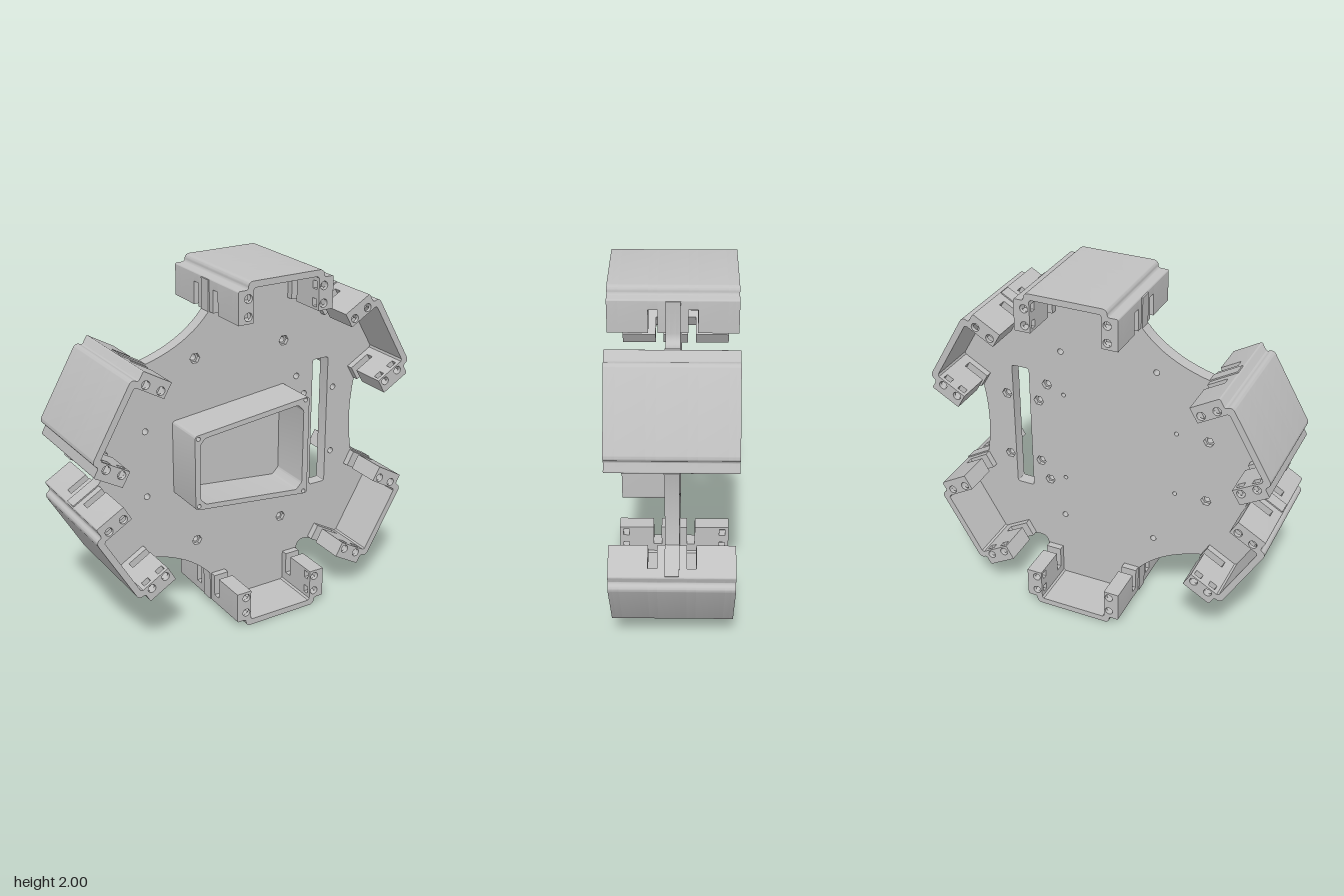
import * as THREE from 'three';
import { toCreasedNormals } from 'three/addons/utils/BufferGeometryUtils.js';

const V = (x, y) => new THREE.Vector2(x, y);

function extrude(shape, z0, z1) {
  const g = new THREE.ExtrudeGeometry(shape, { depth: z1 - z0, bevelEnabled: false, curveSegments: 10 });
  g.translate(0, 0, z0);
  return toCreasedNormals(g, 0.6);
}

function circle(x, y, r, sides = 16) {
  const pts = [];
  for (let i = 0; i < sides; i++) {
    const a = (i / sides) * Math.PI * 2;
    pts.push(V(x + r * Math.cos(a), y + r * Math.sin(a)));
  }
  return new THREE.Path(pts);
}

// closed path with rounded corners
function rounded(path, pts, r) {
  pts.forEach((p, i) => {
    const a = pts[(i + pts.length - 1) % pts.length], b = pts[(i + 1) % pts.length];
    const s = p.clone().add(a.clone().sub(p).setLength(r));
    const e = p.clone().add(b.clone().sub(p).setLength(r));
    if (i === 0) path.moveTo(s.x, s.y); else path.lineTo(s.x, s.y);
    path.quadraticCurveTo(p.x, p.y, e.x, e.y);
  });
  path.closePath();
  return path;
}

// bracket positions, clockwise from the top; angle turns local +y outward
const BRACKETS = [
  { x: 0.145, y: 1.78, deg: 0 },
  { x: 0.67, y: 1.48, deg: -60 },
  { x: 0.67, y: 0.52, deg: -120 },
  { x: 0.145, y: 0.22, deg: 180 },
  { x: -0.675, y: 0.695, deg: 120 },
  { x: -0.675, y: 1.305, deg: 60 },
];
// control points of the curved plate edge after each bracket
const EDGES = [[0.45, 1.72], [0.775, 1], [0.45, 0.28], [-0.28, 0.375], [-0.775, 1], [-0.28, 1.625]];

const BOLT_V = [0.037, 0.132];

// U-shaped bracket section; tabs start at height v0, optional nut pockets
function section(v0, pockets) {
  const s = new THREE.Shape();
  s.moveTo(-0.2, v0);
  s.lineTo(-0.29, v0);
  s.lineTo(-0.29, 0.168);
  s.quadraticCurveTo(-0.29, 0.178, -0.28, 0.178);
  s.lineTo(-0.245, 0.178);
  s.quadraticCurveTo(-0.232, 0.18, -0.232, 0.192);
  s.quadraticCurveTo(-0.23, 0.22, -0.2, 0.22);
  s.lineTo(0.2, 0.22);
  s.quadraticCurveTo(0.23, 0.22, 0.232, 0.192);
  s.quadraticCurveTo(0.232, 0.18, 0.245, 0.178);
  s.lineTo(0.28, 0.178);
  s.quadraticCurveTo(0.29, 0.178, 0.29, 0.168);
  s.lineTo(0.29, v0);
  s.lineTo(0.2, v0);
  const h = 0.022;
  if (pockets) BOLT_V.forEach((v) => {
    s.lineTo(0.2, v - h); s.lineTo(0.255, v - h); s.lineTo(0.255, v + h); s.lineTo(0.2, v + h);
  });
  s.lineTo(0.2, 0.175);
  s.lineTo(0.19, 0.185);
  s.lineTo(-0.19, 0.185);
  s.lineTo(-0.2, 0.175);
  if (pockets) [...BOLT_V].reverse().forEach((v) => {
    s.lineTo(-0.2, v + h); s.lineTo(-0.255, v + h); s.lineTo(-0.255, v - h); s.lineTo(-0.2, v - h);
  });
  s.closePath();
  return s;
}

function bracketLayers() {
  const bolted = section(0, false);
  for (const u of [-0.231, 0.231]) for (const v of BOLT_V) bolted.holes.push(circle(u, v, 0.023));
  const plain = section(0, false), pocketed = section(0, true), notched = section(0.125, false);
  const layers = [['bracketCentre', extrude(plain, -0.075, 0.075)]];
  const half = [
    ['bracketSlots', notched, 0.075, 0.122],
    ['bracketWall', plain, 0.122, 0.268],
    ['bracketNutPockets', pocketed, 0.268, 0.302],
    ['bracketBoltEnd', bolted, 0.302, 0.323],
  ];
  for (const [name, s, a, b] of half) {
    layers.push([name, extrude(s, a, b)], [name, extrude(s, -b, -a)]);
  }
  return layers;
}

function plateOutline() {
  const s = new THREE.Shape();
  const local = [[-0.297, 0], [-0.297, 0.17], [-0.22, 0.17], [-0.22, 0.19], [0.22, 0.19], [0.22, 0.17], [0.297, 0.17], [0.297, 0]];
  const at = (b, p) => V(p[0], p[1]).rotateAround(V(0, 0), THREE.MathUtils.degToRad(b.deg)).add(V(b.x, b.y));
  BRACKETS.forEach((b, i) => {
    local.forEach((p, j) => {
      const q = at(b, p);
      if (i === 0 && j === 0) s.moveTo(q.x, q.y);
      else if (j > 0) s.lineTo(q.x, q.y);
    });
    const n = at(BRACKETS[(i + 1) % 6], local[0]);
    s.quadraticCurveTo(EDGES[i][0], EDGES[i][1], n.x, n.y);
  });
  return s;
}

export function createModel() {
  const model = new THREE.Group();
  model.name = 'hexagonalFrame';
  const grey = new THREE.MeshStandardMaterial({ color: 0xc0c0c0 });
  grey.name = 'light grey';
  const add = (parent, name, geometry) => {
    const m = new THREE.Mesh(geometry, grey);
    m.name = name;
    parent.add(m);
  };

  // plate in three layers, so nut recesses can sit on either face
  const frontNuts = [[-0.235, 0.54], [0.325, 0.54]];
  const backNuts = [[0.415, 0.315], [0.47, 0.2], [0.67, 0.2], [-0.54, 0.19]];
  const hubBolts = [[-0.356, 0.194], [0.314, 0.273]];
  const plate = new THREE.Group();
  plate.name = 'basePlate';
  model.add(plate);
  const plateLayer = (name, z0, z1, hexFront, hexBack) => {
    const s = plateOutline();
    s.holes.push(rounded(new THREE.Path(), [V(0.525, 0.615), V(0.63, 0.615), V(0.63, 1.39), V(0.525, 1.39)], 0.015));
    for (const m of [-1, 1]) {
      for (const [x, y] of frontNuts) s.holes.push(hexFront ? circle(x, 1 + m * y, 0.03, 6) : circle(x, 1 + m * y, 0.017));
      for (const [x, y] of backNuts) s.holes.push(hexBack ? circle(x, 1 + m * y, 0.03, 6) : circle(x, 1 + m * y, 0.017));
      for (const [x, y] of hubBolts) s.holes.push(circle(x, 1 + m * y, 0.012));
    }
    add(plate, name, extrude(s, z0, z1));
  };
  plateLayer('plateFront', 0.015, 0.037, true, false);
  plateLayer('plateCore', -0.015, 0.015, false, false);
  plateLayer('plateBack', -0.037, -0.015, false, true);

  // hollow trapezoid housing with clipped inner corners for its bolts
  const hub = rounded(new THREE.Shape(), [V(-0.377, 0.788), V(0.337, 0.71), V(0.337, 1.29), V(-0.377, 1.212)], 0.02);
  hub.holes.push(rounded(new THREE.Path(), [
    V(-0.346, 0.845), V(-0.315, 0.81), V(0.265, 0.748), V(0.302, 0.785),
    V(0.302, 1.215), V(0.265, 1.252), V(-0.315, 1.19), V(-0.346, 1.155),
  ], 0.012));
  for (const m of [-1, 1]) for (const [x, y] of hubBolts) hub.holes.push(circle(x, 1 + m * y, 0.012));
  add(model, 'housing', extrude(hub, 0.037, 0.277));

  // six identical edge brackets
  const layers = bracketLayers();
  for (const b of BRACKETS) {
    const g = new THREE.Group();
    g.name = 'edgeBracket';
    g.position.set(b.x, b.y, 0);
    g.rotation.z = THREE.MathUtils.degToRad(b.deg);
    layers.forEach(([name, geometry]) => add(g, name, geometry));
    model.add(g);
  }
  return model;
}
